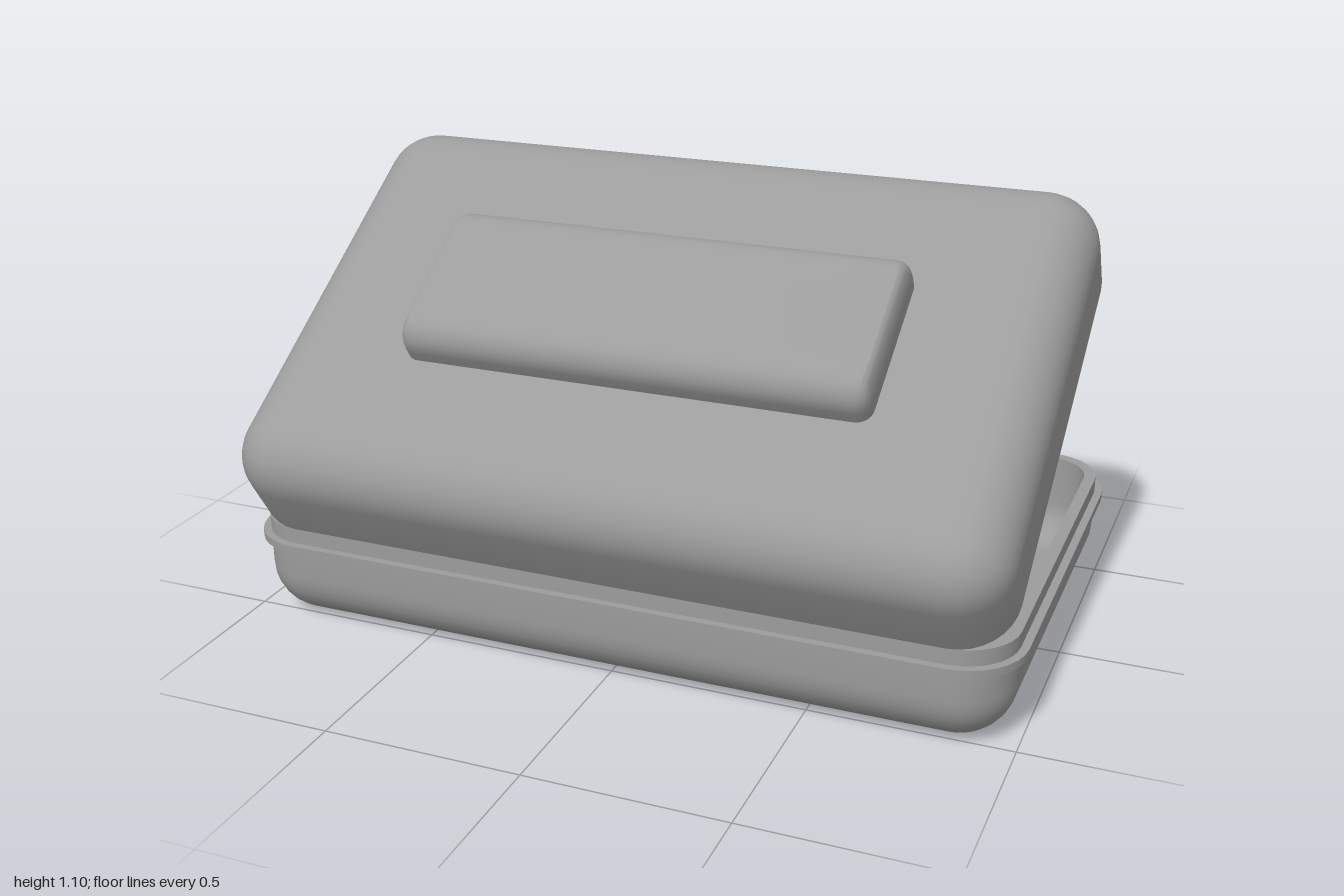
import * as THREE from 'three';
import { toCreasedNormals } from 'three/addons/utils/BufferGeometryUtils.js';

const CORNER = 8; // segments per rounded corner

// Surface through stacked rounded rectangles [halfX, halfZ, cornerRadius, y], capped at both ends
function loft(rings) {
  const pos = [], idx = [], n = 4 * (CORNER + 1);
  for (const [hx, hz, r, y] of rings) {
    for (let q = 0; q < 4; q++) {
      const sx = q === 0 || q === 3 ? 1 : -1, sz = q < 2 ? 1 : -1;
      for (let k = 0; k <= CORNER; k++) {
        const a = (q + k / CORNER) * Math.PI / 2;
        pos.push(sx * (hx - r) + r * Math.cos(a), y, sz * (hz - r) + r * Math.sin(a));
      }
    }
  }
  const last = rings.length - 1, first = rings.length * n;
  pos.push(0, rings[0][3], 0, 0, rings[last][3], 0);
  for (let j = 0; j < n; j++) {
    const k = (j + 1) % n;
    for (let i = 0; i < last; i++) {
      const a = i * n + j, b = i * n + k;
      idx.push(a, a + n, b, b, a + n, b + n);
    }
    idx.push(first, j, k, first + 1, last * n + k, last * n + j);
  }
  const g = new THREE.BufferGeometry();
  g.setAttribute('position', new THREE.Float32BufferAttribute(pos, 3));
  g.setIndex(idx);
  return toCreasedNormals(g, 0.6);
}

// Rings of a rounded edge that rises from the wall (at y - rise) to a flat face at y
function roundedEdge(hx, hz, r, y, rise, insetX, insetZ, steps = 8) {
  const rings = [];
  for (let k = 0; k <= steps; k++) {
    const a = (k / steps) * Math.PI / 2, c = 1 - Math.cos(a);
    rings.push([hx - insetX * c, hz - insetZ * c,
      r - Math.min(insetX, r - 0.01) * c, y - rise * (1 - Math.sin(a))]);
  }
  return rings;
}

export function createModel() {
  const model = new THREE.Group();
  model.name = 'hingedBox';
  const material = new THREE.MeshStandardMaterial({ color: 0x9c9c9c });
  const part = (name, rings, parent) => {
    const mesh = new THREE.Mesh(loft(rings), material);
    mesh.name = name;
    parent.add(mesh);
    return mesh;
  };

  const HX = 0.98, HZ = 0.602, R = 0.14, WALL = 0.03, ROUND = 0.13, IROUND = 0.1;
  const IX = HX - WALL, IZ = HZ - WALL, IR = R - WALL;

  // Tray: outer bottom, lip, rim and hollow inside as one skin
  const outerBottom = roundedEdge(HX, HZ, R, 0, -ROUND, ROUND, ROUND).reverse();
  const innerFloor = roundedEdge(IX, IZ, IR, WALL, -IROUND, IROUND, IROUND);
  const tray = part('tray', [
    ...outerBottom,
    [HX, HZ, R, 0.205], [HX + 0.02, HZ + 0.02, R + 0.02, 0.205],
    [HX + 0.02, HZ + 0.02, R + 0.02, 0.225], [HX, HZ, R, 0.225],
    [HX, HZ, R, 0.265], [IX, IZ, IR, 0.265],
    ...innerFloor,
  ], model);
  tray.position.z = -0.038;

  // Lid group pivots on the front edge of the tray
  const lid = new THREE.Group();
  lid.name = 'lid';
  lid.position.set(0, 0.265, 0.565);
  lid.rotation.x = THREE.MathUtils.degToRad(33.2);
  model.add(lid);

  // Lid shell with a hollow raised panel in its roof
  const H = 0.268, PX = 0.6, PZ = 0.221;
  const outer = [
    [HX, HZ, R, 0],
    ...roundedEdge(HX, HZ, R, H, ROUND, ROUND, ROUND),
    [PX, PZ, 0.04, H],
    ...roundedEdge(PX, PZ, 0.04, 0.365, 0.068, 0.025, 0.068),
  ];
  const inner = [
    [IX, IZ, IR, 0],
    ...roundedEdge(IX, IZ, IR, H - WALL, IROUND, IROUND, IROUND),
    [PX - WALL, PZ - WALL, 0.03, H - WALL],
    ...roundedEdge(PX - WALL, PZ - WALL, 0.03, 0.335, 0.045, 0.015, 0.045),
  ];
  const shell = part('lidShell', [...inner.reverse(), ...outer], lid);
  shell.position.z = -HZ;

  // Latch: plate on the lid's free edge with a chamfered grip
  const latch = new THREE.Group();
  latch.name = 'latch';
  latch.rotation.x = -Math.PI / 2;
  latch.position.set(0, 0.011, -1.178);
  lid.add(latch);
  part('latchPlate', [
    [0.28, 0.12, 0.05, 0], [0.28, 0.12, 0.05, 0.038], [0.276, 0.116, 0.046, 0.042],
  ], latch);
  part('latchGrip', [
    [0.235, 0.078, 0.02, 0.03], [0.235, 0.078, 0.02, 0.042], [0.2, 0.06, 0.01, 0.058],
  ], latch);

  return model;
}
